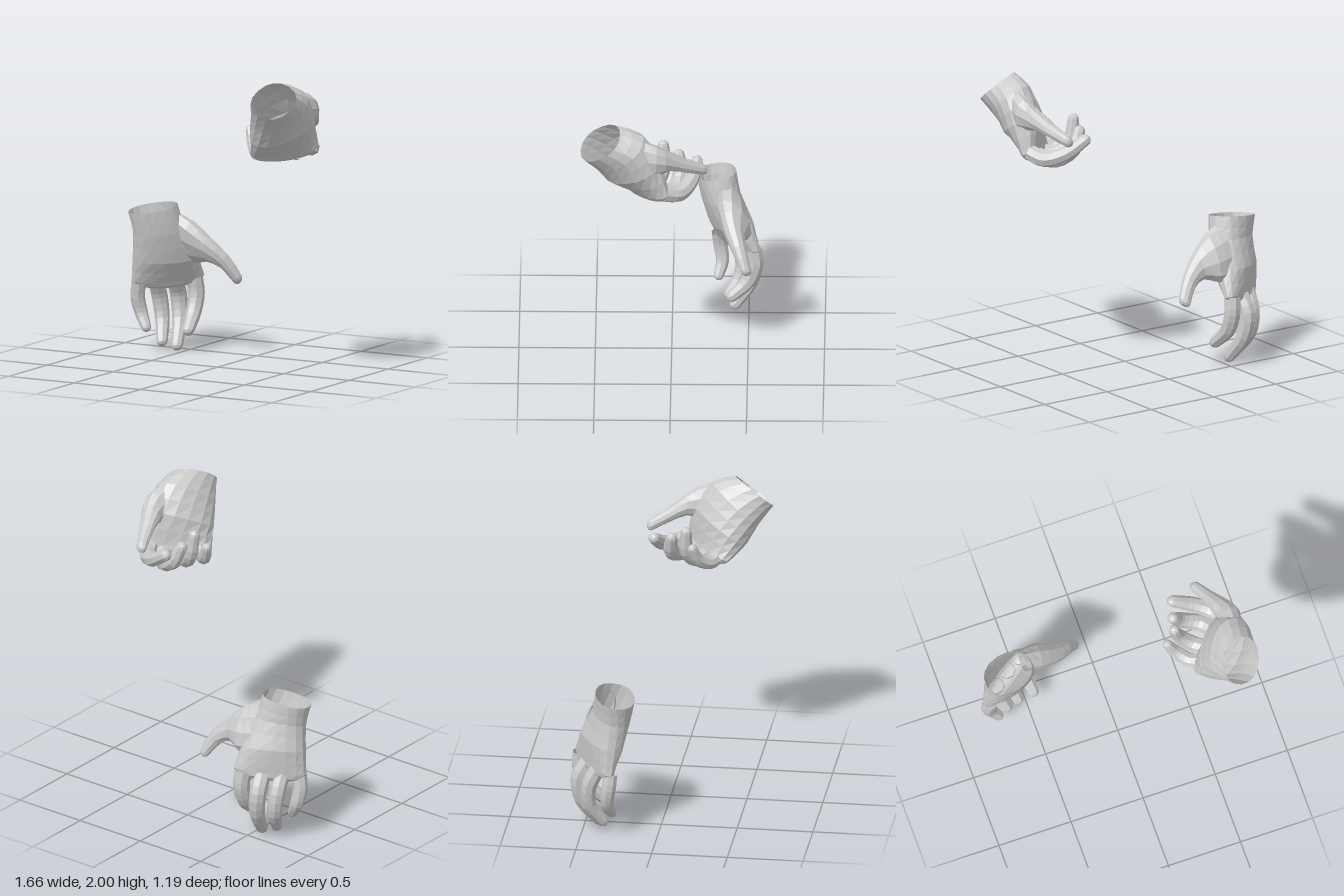
import * as THREE from 'three';

const V = (p) => new THREE.Vector3(...p);
const material = new THREE.MeshStandardMaterial({ color: 0xcccccc, flatShading: true, side: THREE.DoubleSide });

// Skin over oval sections [edgeA, edgeB, halfThickness], closed by a dome at the far end.
function loft(name, sections, sides, perSpan, squareness = 1) {
  const curveA = new THREE.CatmullRomCurve3(sections.map((s) => V(s[0])));
  const curveB = new THREE.CatmullRomCurve3(sections.map((s) => V(s[1])));
  const steps = (sections.length - 1) * perSpan;
  const rows = [];
  for (let i = 0; i <= steps; i++) {
    const k = Math.min(Math.floor(i / perSpan), sections.length - 2);
    const a = curveA.getPoint(i / steps), b = curveB.getPoint(i / steps);
    rows.push({
      c: a.clone().add(b).multiplyScalar(0.5),
      u: b.sub(a).multiplyScalar(0.5),
      t: THREE.MathUtils.lerp(sections[k][2], sections[k + 1][2], i / perSpan - k),
    });
  }
  rows.forEach((r, i) => {
    r.axis = rows[Math.min(i + 1, steps)].c.clone().sub(rows[Math.max(i - 1, 0)].c).normalize();
    r.n = r.u.clone().cross(r.axis).normalize().multiplyScalar(r.t);
  });
  // rounded end
  const end = rows[steps];
  for (const h of [0.5, 0.85, 1]) {
    const s = Math.sqrt(1 - h * h);
    rows.push({
      c: end.c.clone().addScaledVector(end.axis, end.t * h),
      u: end.u.clone().multiplyScalar(s),
      n: end.n.clone().multiplyScalar(s),
    });
  }
  const power = (x) => Math.sign(x) * Math.abs(x) ** squareness;
  const pos = [], index = [];
  rows.forEach((r, i) => {
    for (let j = 0; j < sides; j++) {
      const ang = (j / sides) * Math.PI * 2;
      const p = r.c.clone().addScaledVector(r.u, power(Math.cos(ang))).addScaledVector(r.n, power(Math.sin(ang)));
      pos.push(p.x, p.y, p.z);
      if (i === rows.length - 1) continue;
      const a = i * sides + j, b = i * sides + ((j + 1) % sides);
      index.push(a, a + sides, b);
      if (i < rows.length - 2) index.push(b, a + sides, b + sides);
    }
  });
  const geo = new THREE.BufferGeometry();
  geo.setAttribute('position', new THREE.Float32BufferAttribute(pos, 3));
  geo.setIndex(index);
  geo.computeVertexNormals();
  const mesh = new THREE.Mesh(geo, material);
  mesh.name = name;
  return mesh;
}

// Finger: round sections along a bent centre line, widest across the knuckle row.
function finger(name, path, across, size) {
  const radii = [0.056, 0.056, 0.051, 0.039];
  const pts = path.map(V);
  const sections = pts.map((p, i) => {
    const dir = pts[Math.min(i + 1, 3)].clone().sub(pts[Math.max(i - 1, 0)]).normalize();
    const u = V(across).addScaledVector(dir, -V(across).dot(dir)).normalize();
    const r = radii[i] * size;
    return [p.clone().addScaledVector(u, -r).toArray(), p.clone().addScaledVector(u, r).toArray(), r];
  });
  return loft(name, sections, 8, 3);
}

function hand(name, spec) {
  const g = new THREE.Group();
  g.name = name;
  g.add(loft('palm', spec.palm, 16, 2, 0.9));
  g.add(loft('thumb', spec.thumb, 10, 2));
  const names = ['littleFinger', 'ringFinger', 'middleFinger', 'indexFinger'];
  const sizes = [0.86, 0.95, 1, 1];
  spec.fingers.forEach((path, i) => g.add(finger(names[i], path, spec.across, sizes[i])));
  return g;
}

// Hand hanging down, open wrist at the top
const lowered = {
  across: [0.8, 0, -0.55],
  palm: [
    [[-0.82, 0.94, -0.25], [-0.5, 0.99, -0.32], 0.13],
    [[-0.79, 0.8, -0.25], [-0.47, 0.83, -0.38], 0.12],
    [[-0.805, 0.62, -0.27], [-0.44, 0.64, -0.49], 0.115],
    [[-0.825, 0.46, -0.29], [-0.43, 0.5, -0.56], 0.065],
  ],
  thumb: [
    [[-0.52, 0.6, -0.47], [-0.525, 0.945, -0.33], 0.075],
    [[-0.42, 0.59, -0.49], [-0.41, 0.885, -0.33], 0.085],
    [[-0.32, 0.62, -0.45], [-0.29, 0.78, -0.36], 0.065],
    [[-0.235, 0.585, -0.47], [-0.18, 0.665, -0.41], 0.048],
    [[-0.165, 0.49, -0.51], [-0.108, 0.53, -0.46], 0.034],
  ],
  fingers: [
    [[-0.775, 0.46, -0.3], [-0.79, 0.36, -0.31], [-0.77, 0.25, -0.325], [-0.72, 0.165, -0.3]],
    [[-0.7, 0.47, -0.39], [-0.705, 0.35, -0.45], [-0.685, 0.2, -0.45], [-0.64, 0.07, -0.37]],
    [[-0.6, 0.47, -0.47], [-0.61, 0.36, -0.53], [-0.59, 0.2, -0.515], [-0.55, 0.045, -0.41]],
    [[-0.49, 0.49, -0.53], [-0.48, 0.38, -0.54], [-0.475, 0.26, -0.5], [-0.45, 0.155, -0.39]],
  ],
};

// Raised hand with curled fingers, open wrist facing up and forward
const raised = {
  across: [0.75, 0.05, -0.65],
  palm: [
    [[0.65, 1.82, 0.59], [0.74, 1.98, 0.33], 0.135],
    [[0.57, 1.71, 0.49], [0.76, 1.93, 0.18], 0.145],
    [[0.5, 1.6, 0.41], [0.77, 1.76, 0.08], 0.14],
    [[0.43, 1.5, 0.31], [0.78, 1.55, 0.02], 0.07],
  ],
  thumb: [
    [[0.68, 1.64, 0.16], [0.73, 1.94, 0.23], 0.08],
    [[0.71, 1.67, 0.1], [0.75, 1.9, 0.09], 0.08],
    [[0.68, 1.71, 0.02], [0.72, 1.83, -0.01], 0.065],
    [[0.64, 1.67, -0.1], [0.67, 1.76, -0.11], 0.048],
    [[0.595, 1.63, -0.2], [0.62, 1.7, -0.215], 0.037],
  ],
  fingers: [
    [[0.48, 1.51, 0.24], [0.42, 1.495, 0.2], [0.35, 1.54, 0.13], [0.31, 1.625, 0.1]],
    [[0.56, 1.5, 0.17], [0.48, 1.49, 0.1], [0.405, 1.57, 0.05], [0.375, 1.715, 0.05]],
    [[0.66, 1.51, 0.08], [0.57, 1.49, -0.02], [0.455, 1.55, -0.06], [0.4, 1.66, -0.05]],
    [[0.73, 1.55, 0.05], [0.68, 1.52, -0.05], [0.57, 1.555, -0.13], [0.44, 1.635, -0.17]],
  ],
};

export function createModel() {
  const model = new THREE.Group();
  model.name = 'pairOfHands';
  model.add(hand('loweredHand', lowered), hand('raisedHand', raised));
  return model;
}
